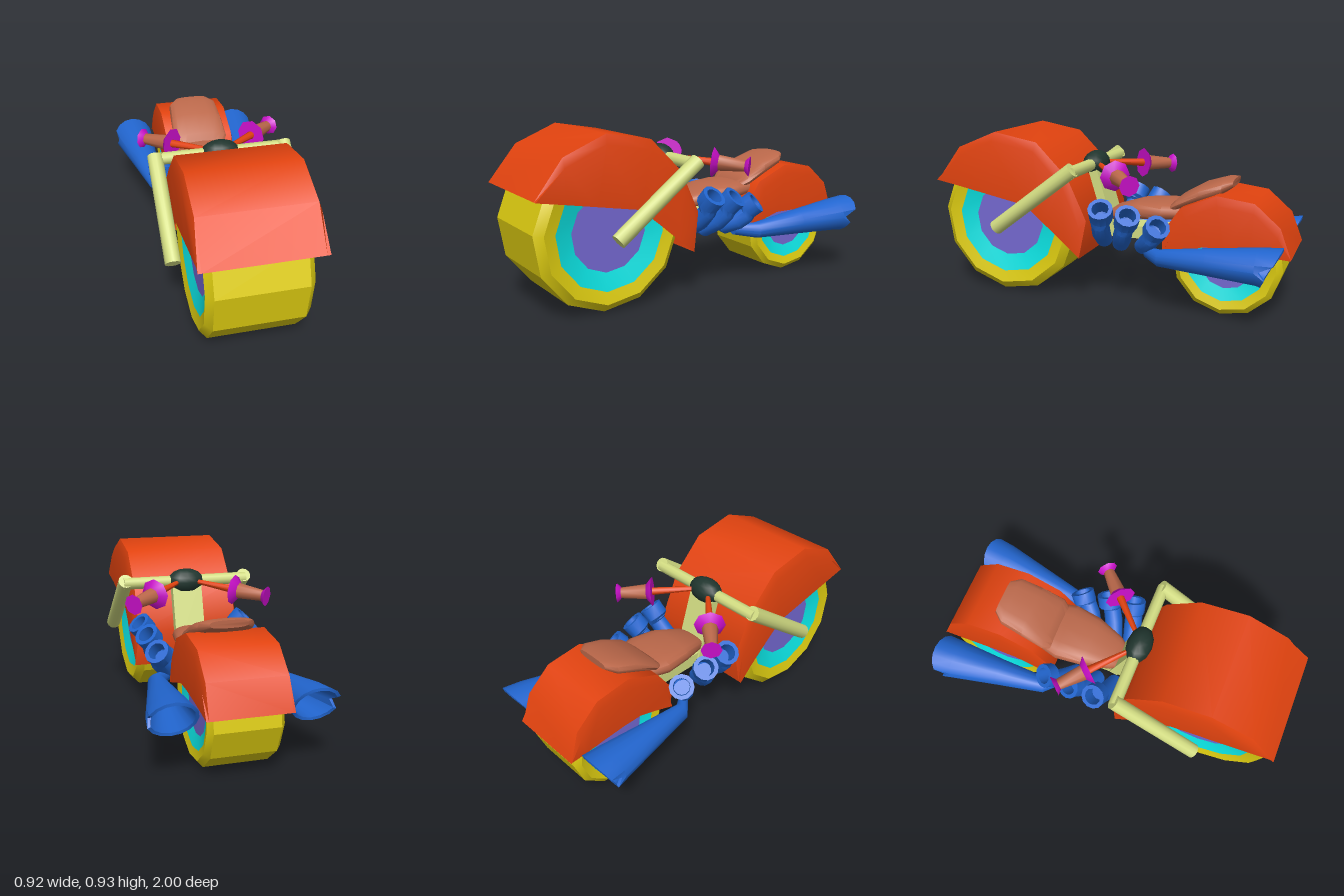
import * as THREE from 'three';
import { toCreasedNormals } from 'three/addons/utils/BufferGeometryUtils.js';

const material = (name, color) => {
  const m = new THREE.MeshStandardMaterial({ color, side: THREE.DoubleSide });
  m.name = name;
  return m;
};
const V = (x, y, z) => new THREE.Vector3(x, y, z);

// Skin a list of rings (arrays of points); optionally close the loop and cap both ends.
function loft(rings, { closed = true, caps = true, crease = 0.8 } = {}) {
  const n = rings[0].length, pos = rings.flat().flatMap(p => [p.x, p.y, p.z]), idx = [];
  for (let i = 0; i < rings.length - 1; i++) {
    for (let j = 0; j < (closed ? n : n - 1); j++) {
      const k = (j + 1) % n, a = i * n, b = a + n;
      idx.push(a + j, a + k, b + k, a + j, b + k, b + j);
    }
  }
  if (closed && caps) {
    const last = (rings.length - 1) * n;
    for (let j = 1; j < n - 1; j++) idx.push(0, j + 1, j, last, last + j, last + j + 1);
  }
  const g = new THREE.BufferGeometry();
  g.setAttribute('position', new THREE.Float32BufferAttribute(pos, 3));
  g.setIndex(idx);
  return toCreasedNormals(g, crease);
}

// Circle of points around a centre, facing along an axis.
function circle(centre, axis, r, sides) {
  const u = V(0, 1, 0).cross(axis).normalize(), v = axis.clone().cross(u).normalize();
  return Array.from({ length: sides }, (_, j) => {
    const t = j / sides * Math.PI * 2;
    return centre.clone().addScaledVector(u, r * Math.cos(t)).addScaledVector(v, r * Math.sin(t));
  });
}

export function createModel() {
  const model = new THREE.Group();
  const orange = material('orange paint', 0xe2430f), yellow = material('yellow tyre', 0xdccb10);
  const cyan = material('cyan rim', 0x0be0e0), violet = material('violet hub', 0x7468d0);
  const pale = material('pale frame', 0xd2dc82), blue = material('blue pipes', 0x2266d0);
  const brown = material('brown leather', 0xbb684a), magenta = material('magenta grips', 0xcc10cc);
  const dark = material('dark green', 0x20352e);

  const add = (parent, name, geometry, mat) => {
    const m = new THREE.Mesh(geometry, mat);
    m.name = name;
    parent.add(m);
    return m;
  };
  // Tapered rod from a to b.
  const rod = (parent, name, a, b, ra, rb, mat, sides = 10) => {
    const g = new THREE.CylinderGeometry(rb, ra, a.distanceTo(b), sides);
    const m = add(parent, name, toCreasedNormals(g, 0.9), mat);
    m.position.copy(a).lerp(b, 0.5);
    m.quaternion.setFromUnitVectors(V(0, 1, 0), b.clone().sub(a).normalize());
    return m;
  };

  // Wheels: a bevelled twelve-sided tyre, a dished rim and a flat hub
  function wheel(name, z, y, scale) {
    const g = new THREE.Group();
    g.name = name;
    const turned = pts => toCreasedNormals(new THREE.LatheGeometry(
      pts.map(p => new THREE.Vector2(...p)), 12, -0.1).rotateZ(-Math.PI / 2), 0.4);
    add(g, 'tyre', turned([[0.305, -0.25], [0.37, -0.265], [0.413, -0.23],
      [0.413, 0.23], [0.37, 0.265], [0.305, 0.25]]), yellow);
    add(g, 'rim', turned([[0.21, -0.225], [0.305, -0.25], [0.305, 0.25], [0.21, 0.225]]), cyan);
    add(g, 'hub', turned([[0, -0.225], [0.21, -0.225], [0.21, 0.225], [0, 0.225]]), violet);
    g.position.set(0, y, z);
    g.scale.setScalar(scale);
    model.add(g);
  }
  wheel('frontWheel', 0.58, 0.42, 1);
  wheel('rearWheel', -0.667, 0.293, 0.714);

  // Fenders: open shells between an outer arc and a lower edge, as [z, y]
  function fender(name, outer, lower, w) {
    const rings = outer.map(([z, y], i) => {
      const [lz, ly] = lower[i], d = Math.hypot(lz - z, ly - y);
      const t = d ? Math.min(0.05 / d, 1) : 0;
      const iz = z + (lz - z) * t, iy = y + (ly - y) * t;
      return [V(-w * 0.98, ly, lz), V(-w, iy, iz), V(-w * 0.94, y, z),
        V(w * 0.94, y, z), V(w, iy, iz), V(w * 0.98, ly, lz)];
    });
    add(model, name, loft(rings, { closed: false, crease: 0.75 }), orange);
  }
  fender('frontFender',
    [[1, 0.635], [0.85, 0.83], [0.62, 0.925], [0.367, 0.88], [0.185, 0.7], [0.078, 0.47], [0.115, 0.26]],
    [[1, 0.635], [0.85, 0.607], [0.68, 0.575], [0.44, 0.53], [0.33, 0.44], [0.2, 0.33], [0.115, 0.26]], 0.308);
  fender('rearFender',
    [[-1, 0.345], [-0.94, 0.505], [-0.807, 0.62], [-0.61, 0.645], [-0.42, 0.565], [-0.32, 0.42], [-0.33, 0.3]],
    [[-1, 0.345], [-0.9, 0.35], [-0.8, 0.36], [-0.66, 0.37], [-0.55, 0.37], [-0.45, 0.34], [-0.33, 0.3]], 0.212);

  // Seat: rounded cross-sections as [z, y, half width, half height]
  function cushion(name, sections) {
    const round = c => Math.sign(c) * Math.abs(c) ** 0.7;
    const rings = sections.map(([z, y, w, h]) => Array.from({ length: 16 }, (_, j) => {
      const t = j / 16 * Math.PI * 2;
      return V(w * round(Math.cos(t)), y + h * round(Math.sin(t)), z);
    }));
    add(model, name, loft(rings), brown);
  }
  cushion('seatBack', [[-0.67, 0.69, 0.1, 0.02], [-0.62, 0.67, 0.145, 0.038], [-0.5, 0.625, 0.155, 0.045],
    [-0.38, 0.565, 0.16, 0.035], [-0.33, 0.535, 0.13, 0.015]]);
  cushion('seatPan', [[-0.42, 0.52, 0.14, 0.04], [-0.3, 0.515, 0.17, 0.05], [-0.15, 0.505, 0.15, 0.05],
    [0, 0.47, 0.1, 0.04], [0.04, 0.46, 0.07, 0.02]]);

  // Frame: neck, backbone, crossbar and steering head
  const neck = add(model, 'neck', new THREE.BoxGeometry(0.17, 0.4, 0.05), pale);
  neck.position.set(0, 0.55, 0.075);
  neck.rotation.x = 0.3;
  add(model, 'backbone', new THREE.BoxGeometry(0.15, 0.07, 0.4), pale).position.set(0, 0.375, -0.14);
  rod(model, 'crossbar', V(-0.36, 0.74, 0.135), V(0.36, 0.74, 0.135), 0.033, 0.033, pale);
  const head = add(model, 'steeringHead', new THREE.SphereGeometry(1, 12, 8), dark);
  head.scale.set(0.108, 0.07, 0.07);
  head.position.set(0, 0.74, 0.135);

  // Mirrored parts, built for +x and flipped for the other side
  for (const side of [1, -1]) {
    const half = new THREE.Group();
    half.name = side > 0 ? 'leftSide' : 'rightSide';
    half.scale.x = side;
    model.add(half);

    rod(half, 'fork', V(0.35, 0.4, 0.598), V(0.35, 0.757, 0.125), 0.041, 0.041, pale, 12);

    // Handlebar with a tapered grip between two flanges
    const start = V(0.06, 0.74, 0.09), inner = V(0.225, 0.716, -0.065), outer = V(0.37, 0.698, -0.2);
    const along = t => inner.clone().lerp(outer, t);
    rod(half, 'handlebar', start, inner, 0.013, 0.022, orange, 8);
    rod(half, 'innerFlange', inner, along(0.2), 0.085, 0.035, magenta, 8);
    rod(half, 'grip', along(0.05), along(0.95), 0.046, 0.03, brown, 8);
    rod(half, 'outerFlange', along(0.85), outer, 0.025, 0.056, magenta, 8);

    // Three open-ended engine pipes leaning outward
    [[V(0.12, 0.325, 0.04), V(0.31, 0.55, -0.013)],
      [V(0.13, 0.315, -0.06), V(0.3, 0.525, -0.165)],
      [V(0.14, 0.315, -0.19), V(0.28, 0.475, -0.325)]].forEach(([low, top]) => {
      const axis = top.clone().sub(low).normalize();
      const rings = [[-0.05, 0.025, 0], [0, 0.045, 0], [0.4, 0.052, 0.02], [0.68, 0.05, 0.02], [0.76, 0.066, 0],
        [1, 0.068, 0], [1, 0.046, 0], [0.7, 0.044, 0]].map(([t, r, drop]) =>
        circle(low.clone().lerp(top, t).add(V(drop, -drop, 0)), axis, r, 12));
      add(half, 'enginePipe', loft(rings, { crease: 0.6 }), blue);
    });

    // Flared exhaust with a notched tail: z, x, y, half width, half height, tail flag
    const rings = [[-0.23, 0.2, 0.31, 0.03, 0.03], [-0.33, 0.285, 0.31, 0.045, 0.045],
      [-0.6, 0.315, 0.328, 0.078, 0.07], [-0.86, 0.34, 0.342, 0.115, 0.092],
      [-0.93, 0.345, 0.345, 0.122, 0.1, 1], [-0.93, 0.345, 0.345, 0.105, 0.085, 1],
      [-0.62, 0.315, 0.33, 0.064, 0.055]].map(([z, x, y, w, h, tail]) =>
      Array.from({ length: 16 }, (_, j) => {
        const t = j / 16 * Math.PI * 2, notch = tail && j === 8;
        const dz = tail ? (notch ? 0.05 : -0.05 * Math.sin(t)) : 0;
        return V(x - (notch ? w * 0.85 : w) * Math.cos(t) * -1 * -1, y + h * Math.sin(t), z + dz);
      }));
    add(half, 'exhaust', loft(rings, { crease: 0.6 }), blue);
  }
  return model;
}
